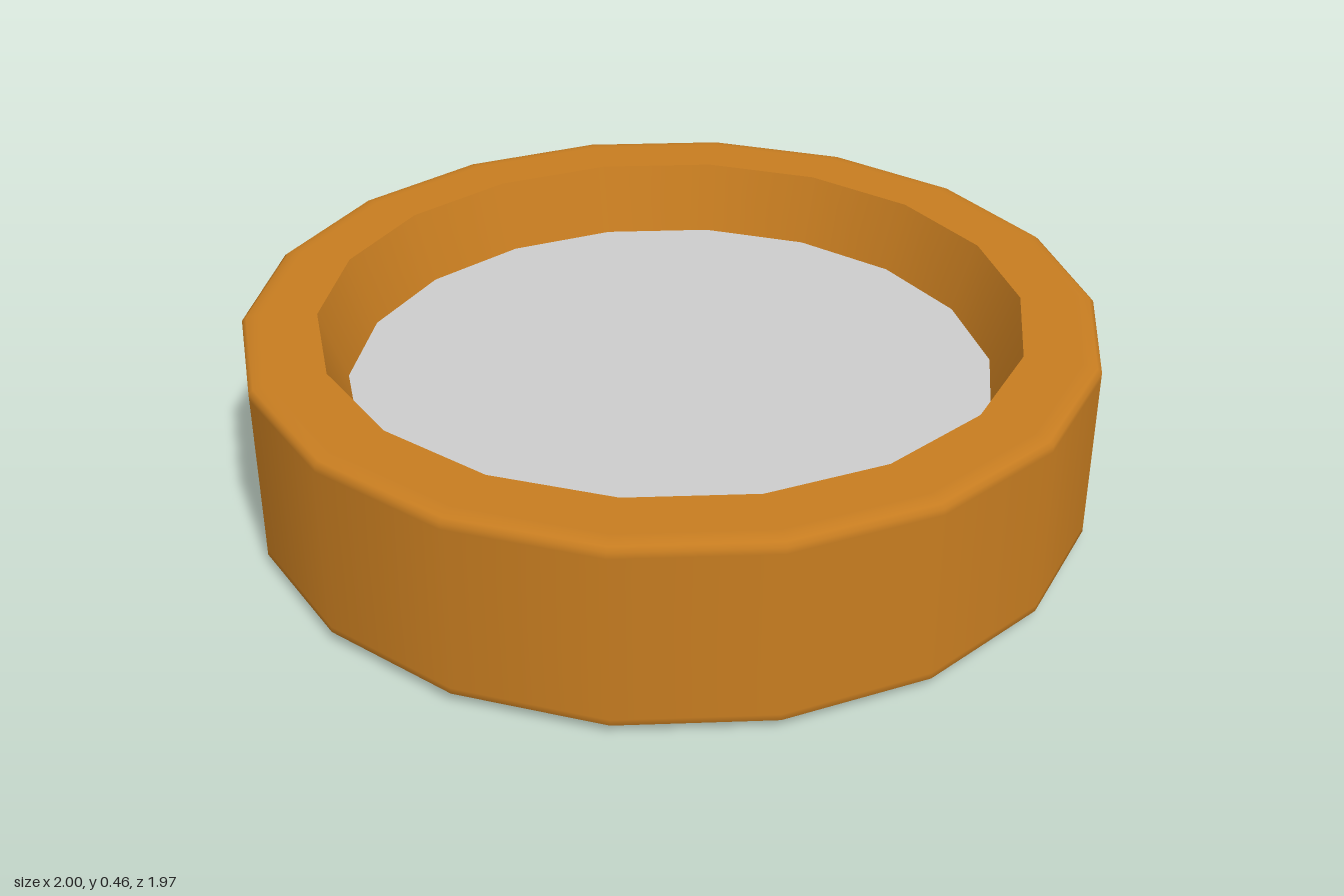
import * as THREE from 'three';

const SIDES = 18;

// Revolves a profile of [radius, height] pairs, with a corner on the x axis.
function ring(name, profile, material) {
  const points = profile.map(([r, y]) => new THREE.Vector2(r, y));
  const mesh = new THREE.Mesh(new THREE.LatheGeometry(points, SIDES, Math.PI / 2), material);
  mesh.name = name;
  return mesh;
}

export function createModel() {
  const group = new THREE.Group();
  group.name = 'shallowDish';
  const wood = new THREE.MeshStandardMaterial({ color: 0xc67c20 });
  const grey = new THREE.MeshStandardMaterial({ color: 0xcccccc });

  // Slightly bulging base, bevelled side and flat rim
  group.add(ring('outerShell', [
    [0, 0], [0.955, 0.013], [0.97, 0.014], [0.99, 0.018], [1, 0.026], [1, 0.04],
    [1, 0.435], [1, 0.45], [0.99, 0.458], [0.97, 0.463], [0.955, 0.463], [0.825, 0.463],
  ], wood));

  // Tapered wall of the recess
  group.add(ring('innerWall', [[0.825, 0.463], [0.765, 0.297]], wood));

  // Flat floor of the recess
  const floor = new THREE.Mesh(new THREE.CircleGeometry(0.765, SIDES), grey);
  floor.name = 'recessFloor';
  floor.rotation.x = -Math.PI / 2;
  floor.position.y = 0.297;
  group.add(floor);

  return group;
}
